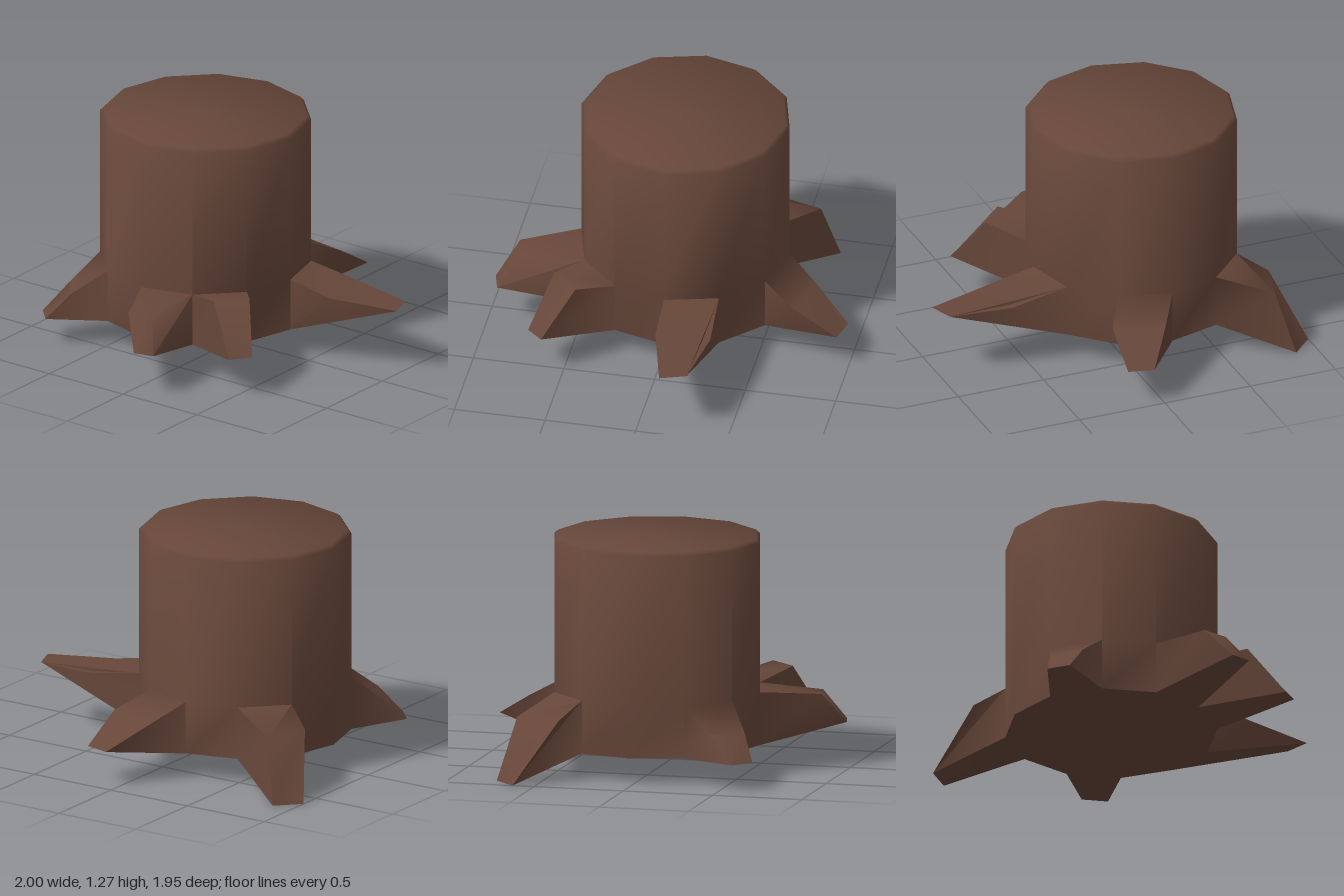
import * as THREE from 'three';
import { toCreasedNormals } from 'three/addons/utils/BufferGeometryUtils.js';

const SIDES = 12, CX = -0.215, CZ = -0.022;

// Each root grows from one trunk side: upper and lower end corners, [first side, second side]
const ROOTS = {
  1: { top: [[0.44, 0.485, 0.45], [0.31, 0.485, 0.595]], low: [[0.58, 0.23, 0.61], [0.49, 0.22, 0.70]] },
  2: { top: [[0.07, 0.41, 0.83], [-0.07, 0.41, 0.86]], low: [[0.16, 0.24, 0.94], [0.05, 0.24, 0.97]] },
  4: { top: [[-0.67, 0.29, 0.59], [-0.79, 0.29, 0.43]], low: [[-0.78, 0.145, 0.665], [-0.87, 0.145, 0.57]] },
  7: { top: [[-0.86, 0.34, -0.40], [-0.79, 0.34, -0.65]], low: [[-1.0, 0, -0.62], [-0.88, 0, -0.74]] },
  9: { top: [[-0.1, 0.33, -0.77], [0.18, 0.345, -0.70]], low: [[0.05, 0.2, -0.975], [0.19, 0.2, -0.94]] },
  11: { top: [[0.61, 0.38, -0.33], [0.62, 0.38, -0.03]], low: [[0.95, 0.365, -0.27], [1.0, 0.365, -0.13]] },
};

const ring = (radius, y) => Array.from({ length: SIDES }, (_, k) => {
  const a = (k / SIDES) * Math.PI * 2;
  return [CX + radius * Math.cos(a), y, CZ + radius * Math.sin(a)];
});

export function createModel() {
  const group = new THREE.Group();
  group.name = 'treeStump';
  const bark = new THREE.MeshStandardMaterial({ color: 0x664639 });
  bark.name = 'barkBrown';

  const positions = [];
  const tri = (...points) => points.forEach((p) => positions.push(...p));
  const quad = (a, b, c, d) => { tri(a, b, c); tri(a, c, d); };

  const base = ring(0.575, 0.14), collar = ring(0.575, 0.43);
  const shoulder = ring(0.575, 1.25), rim = ring(0.555, 1.27);

  for (let k = 0; k < SIDES; k++) {
    const n = (k + 1) % SIDES;
    // trunk wall, bevelled rim, cut top and underside
    quad(collar[n], collar[k], shoulder[k], shoulder[n]);
    quad(shoulder[n], shoulder[k], rim[k], rim[n]);
    tri(rim[n], rim[k], [CX, 1.27, CZ]);
    tri(base[k], base[n], [CX, 0.14, CZ]);

    const root = ROOTS[k];
    if (!root) {
      quad(base[n], base[k], collar[k], collar[n]);
      continue;
    }
    // root: blunt end, top, underside and two flanks
    const [t0, t1] = root.top, [b0, b1] = root.low;
    quad(b1, b0, t0, t1);
    quad(t1, t0, collar[k], collar[n]);
    quad(base[n], base[k], b0, b1);
    quad(b0, base[k], collar[k], t0);
    quad(base[n], b1, t1, collar[n]);
  }

  const geometry = new THREE.BufferGeometry();
  geometry.setAttribute('position', new THREE.Float32BufferAttribute(positions, 3));
  const stump = new THREE.Mesh(toCreasedNormals(geometry, 1.25), bark);
  stump.name = 'trunkAndRoots';
  group.add(stump);
  return group;
}
